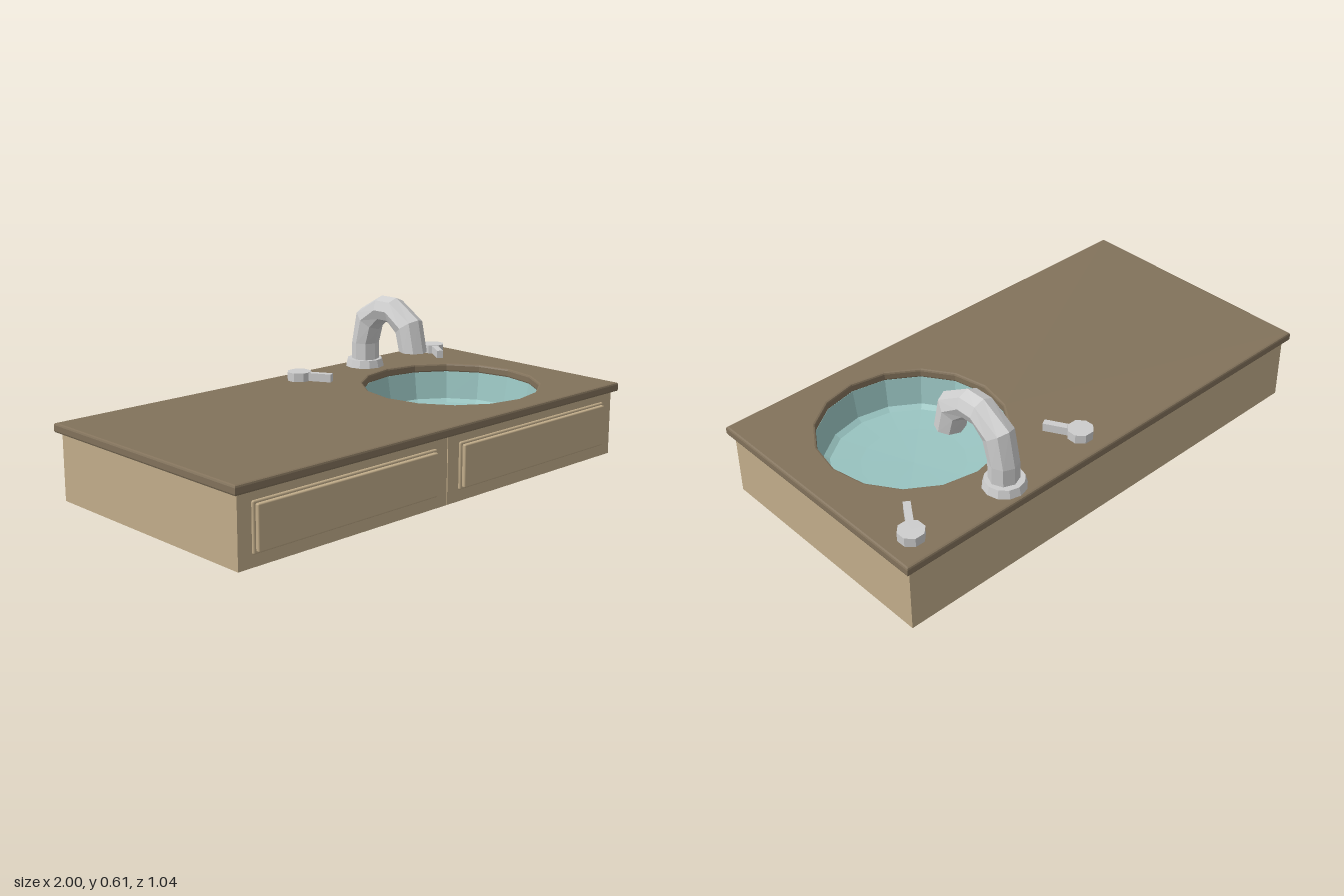
import * as THREE from 'three';
import { RoundedBoxGeometry } from 'three/addons/geometries/RoundedBoxGeometry.js';

const mat = (name, color, extra = {}) => {
  const m = new THREE.MeshStandardMaterial({ color, ...extra });
  m.name = name;
  return m;
};

export function createModel() {
  const root = new THREE.Group();
  root.name = 'sinkCounter';
  const wood = mat('tan wood', 0xc2ad8a);
  const stone = mat('brown worktop', 0x82725b, { flatShading: true });
  const bowl = mat('pale blue basin', 0x99c4c1, { flatShading: true, side: THREE.DoubleSide });
  const metal = mat('light grey metal', 0xcdcdcd, { flatShading: true });

  const add = (name, geo, material, x = 0, y = 0, z = 0, parent = root) => {
    const m = new THREE.Mesh(geo, material);
    m.name = name;
    m.position.set(x, y, z);
    parent.add(m);
    return m;
  };

  // Cabinet carcass, open at the top so the basin can sink into it
  const carcass = new THREE.BoxGeometry(1.956, 0.265, 0.995);
  const index = Array.from(carcass.index.array);
  index.splice(12, 6);
  carcass.setIndex(index);
  carcass.clearGroups();
  add('cabinet', carcass, wood, 0, 0.1325, -0.0025);

  // Two front faces with a fine seam between, each with a raised panel
  for (const s of [-1, 1]) {
    add('cabinetFront', new THREE.BoxGeometry(0.976, 0.262, 0.006), wood, s * 0.49, 0.131, 0.497);
    add('panelFrame', new RoundedBoxGeometry(0.858, 0.182, 0.02, 1, 0.006), wood, s * 0.49, 0.136, 0.499);
    add('panelFace', new RoundedBoxGeometry(0.838, 0.164, 0.03, 1, 0.005), wood, s * 0.49, 0.136, 0.508);
  }

  // Worktop with a sixteen-sided opening and bevelled edges
  const hx = 0.5, hz = 0.055, bevel = 0.008, thick = 0.037;
  const ring = (r, n) => Array.from({ length: n }, (_, i) => {
    const a = (i / n) * Math.PI * 2;
    return new THREE.Vector2(hx + r * Math.cos(a), -hz + r * Math.sin(a));
  });
  const w = 1 - bevel, d = 0.52 - bevel;
  const top = new THREE.Shape([[-w, -d], [w, -d], [w, d], [-w, d]].map(p => new THREE.Vector2(...p)));
  top.holes.push(new THREE.Path(ring(0.365, 16)));
  const slab = new THREE.ExtrudeGeometry(top, {
    depth: thick - 2 * bevel, bevelEnabled: true, bevelThickness: bevel,
    bevelSize: bevel, bevelSegments: 2,
  });
  slab.rotateX(-Math.PI / 2);
  add('worktop', slab, stone, 0, 0.261 + bevel, 0);

  // Basin: steep wall and a shallow dished floor
  const profile = [[0, 0.125], [0.2, 0.13], [0.315, 0.137], [0.337, 0.15], [0.358, 0.264], [0.367, 0.264]];
  const basin = new THREE.LatheGeometry(profile.map(p => new THREE.Vector2(...p)), 16);
  add('basin', basin, bowl, hx, 0, hz);

  // Spout: octagonal rings between outer [z, y] and inner [z, y] points
  const stations = [
    [-0.478, 0.3, -0.364, 0.3], [-0.478, 0.4, -0.364, 0.4], [-0.45, 0.54, -0.342, 0.465],
    [-0.323, 0.612, -0.308, 0.502], [-0.24, 0.612, -0.257, 0.502],
    [-0.113, 0.535, -0.218, 0.465], [-0.083, 0.4, -0.199, 0.4],
  ];
  const pos = [], faces = [], n = 8;
  for (const [oz, oy, iz, iy] of stations) {
    for (let i = 0; i < n; i++) {
      const a = (i / n) * Math.PI * 2, c = Math.cos(a) / 2;
      pos.push(0.057 * Math.sin(a), (oy + iy) / 2 + c * (oy - iy), (oz + iz) / 2 + c * (oz - iz));
    }
  }
  for (let s = 0; s < stations.length - 1; s++) {
    for (let i = 0; i < n; i++) {
      const a = s * n + i, b = s * n + ((i + 1) % n);
      faces.push(a, b, a + n, b, b + n, a + n);
    }
  }
  const last = (stations.length - 1) * n;
  for (let i = 1; i < n - 1; i++) faces.push(last, last + i, last + i + 1);
  const spout = new THREE.BufferGeometry();
  spout.setAttribute('position', new THREE.Float32BufferAttribute(pos, 3));
  spout.setIndex(faces);
  // Make sure the faces point outward (positive enclosed volume)
  let volume = 0;
  const v = i => new THREE.Vector3().fromArray(pos, i * 3).sub(new THREE.Vector3(0, 0.3, -0.42));
  for (let i = 0; i < faces.length; i += 3) {
    volume += v(faces[i]).dot(v(faces[i + 1]).cross(v(faces[i + 2])));
  }
  if (volume < 0) spout.setIndex(faces.slice().reverse());
  spout.computeVertexNormals();
  add('spout', spout, metal, 0.482, 0, 0);
  add('spoutFlange', new THREE.CylinderGeometry(0.074, 0.083, 0.034, 12), metal, 0.482, 0.313, -0.425);

  // Tap handles: an octagonal knob with a lever toward the basin
  for (const [x, dx] of [[0.095, 0.068], [0.892, -0.082]]) {
    const tap = new THREE.Group();
    tap.name = 'tapHandle';
    tap.position.set(x, 0.315, -0.412);
    root.add(tap);
    const knob = new THREE.CylinderGeometry(0.05, 0.05, 0.037, 8);
    knob.rotateY(Math.PI / 8);
    add('knob', knob, metal, 0, 0, 0, tap);
    const length = Math.hypot(dx, 0.122);
    const lever = add('lever', new THREE.BoxGeometry(0.027, 0.033, length), metal, dx / 2, 0, 0.061, tap);
    lever.rotation.y = Math.atan2(dx, 0.122);
  }
  return root;
}
